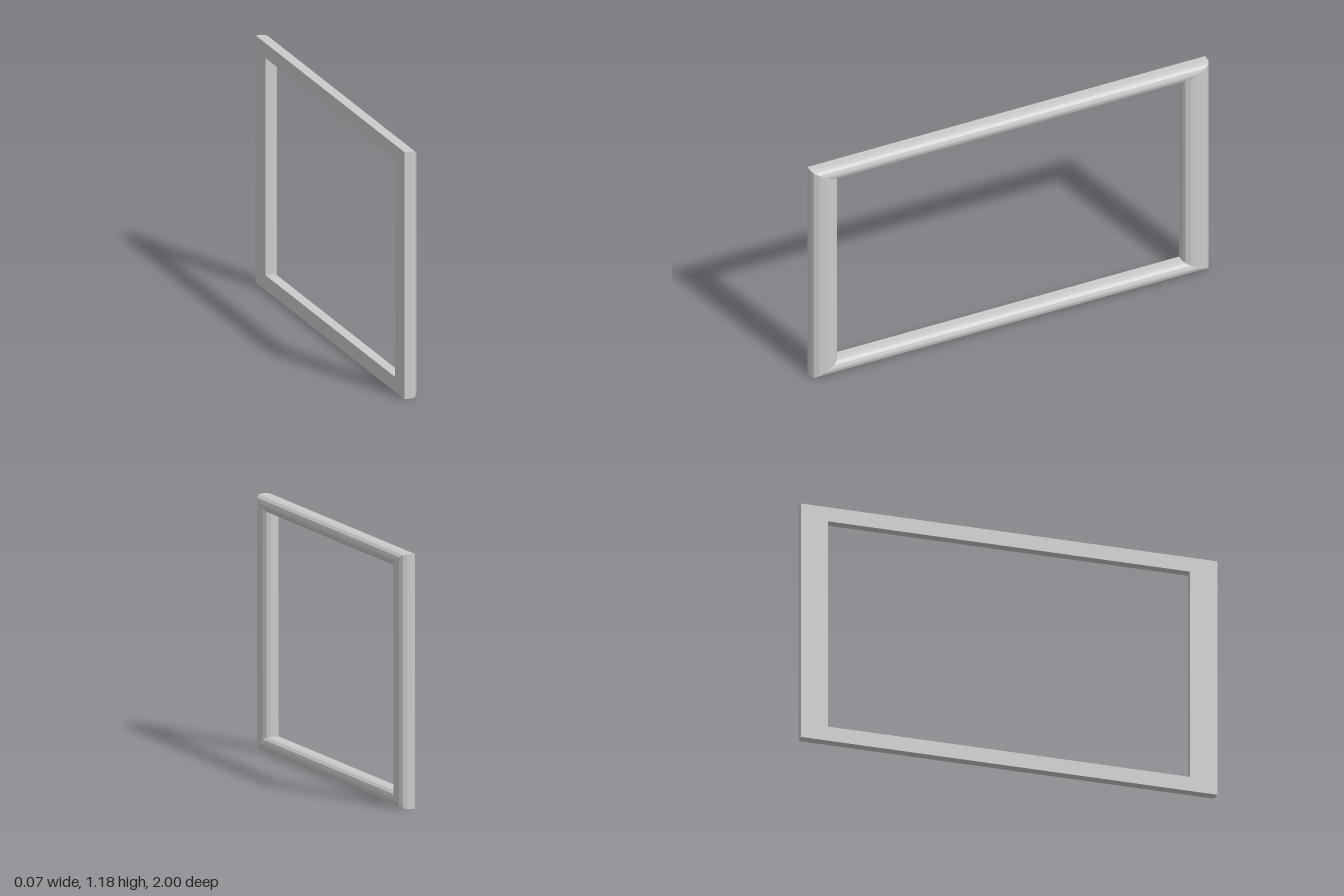
import * as THREE from 'three';

const HEIGHT = 1.176, RAIL = 0.071, POST = 0.13, HALF_DEPTH = 0.036;

// Moulding cross-section: u runs from outer edge (0) to inner edge (1), x is depth
function mouldingProfile() {
  const steps = 3, round = 0.43;
  const outer = [[0, -HALF_DEPTH]];
  for (let i = 0; i <= steps; i++) {
    const t = (i / steps) * Math.PI / 2;
    outer.push([round * (1 - Math.cos(t)), HALF_DEPTH * Math.sin(t)]);
  }
  const inner = outer.map(([u, x]) => [1 - u, x]).reverse();
  return [...outer, ...inner];
}

// One mitred side of the frame between two corners
function mitredSide(a, b, profile) {
  const at = (corner, [u, x]) => [
    x,
    THREE.MathUtils.lerp(corner.outer[1], corner.inner[1], u),
    THREE.MathUtils.lerp(corner.outer[0], corner.inner[0], u),
  ];
  const positions = [];
  profile.forEach((p, j) => {
    const q = profile[(j + 1) % profile.length];
    const a0 = at(a, p), b0 = at(b, p), a1 = at(a, q), b1 = at(b, q);
    positions.push(...a0, ...b0, ...b1, ...a0, ...b1, ...a1);
  });
  const geometry = new THREE.BufferGeometry();
  geometry.setAttribute('position', new THREE.Float32BufferAttribute(positions, 3));
  geometry.computeVertexNormals();
  return geometry;
}

export function createModel() {
  const group = new THREE.Group();
  group.name = 'frame';
  const material = new THREE.MeshStandardMaterial({ color: 0xcccccc, flatShading: true });
  const profile = mouldingProfile();

  // Corners as [z, y], counter-clockwise seen from the rounded side
  const corners = [[1, 0], [-1, 0], [-1, 1], [1, 1]].map(([z, top]) => ({
    outer: [z, top * HEIGHT],
    inner: [z * (1 - POST), top ? HEIGHT - RAIL : RAIL],
  }));

  // Rails and posts meeting at the mitres
  ['bottomRail', 'backPost', 'topRail', 'frontPost'].forEach((name, i) => {
    const mesh = new THREE.Mesh(mitredSide(corners[i], corners[(i + 1) % 4], profile), material);
    mesh.name = name;
    group.add(mesh);
  });
  return group;
}
